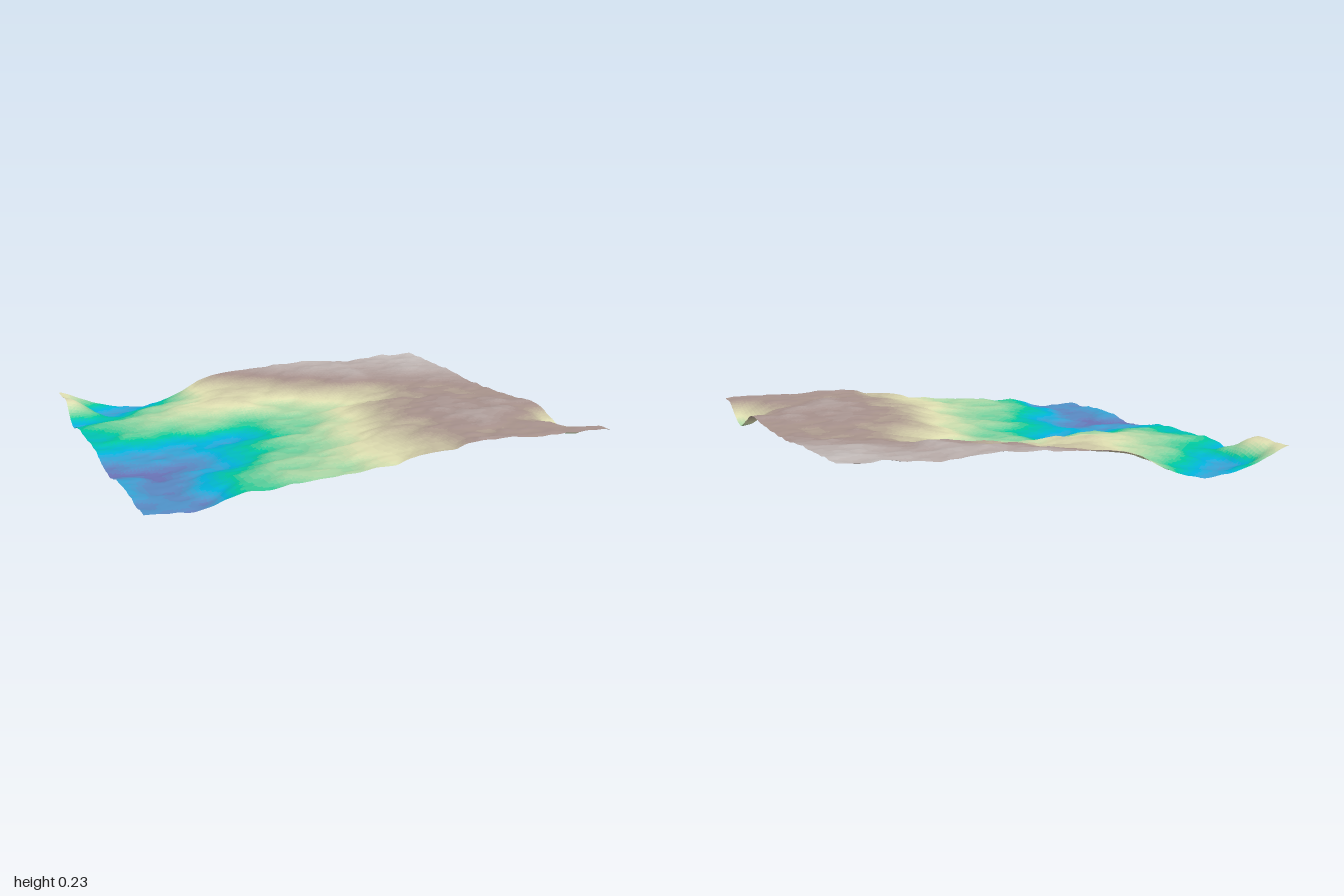
import * as THREE from 'three';

const WIDTH = 2, DEPTH = 1.94, RELIEF = 0.235, BANDS = 48;

// Elevations in percent of the relief: rows run back to front, columns left to right in x.
const ELEVATION = [
  [61, 32, 15, 33, 74, 83, 89, 94, 90, 97, 96],
  [56, 18, 24, 42, 62, 75, 85, 93, 90, 95, 97],
  [20, 27, 36, 50, 59, 61, 72, 84, 86, 91, 94],
  [28, 35, 44, 55, 57, 44, 58, 68, 78, 82, 84],
  [26, 34, 40, 40, 30, 40, 48, 59, 76, 79, 79],
  [24, 25, 22, 18, 28, 39, 56, 72, 76, 77, 77],
  [12, 11, 14, 24, 34, 43, 60, 75, 79, 79, 76],
  [9, 8, 12, 25, 36, 47, 65, 77, 85, 83, 79],
  [14, 9, 22, 33, 39, 51, 68, 79, 87, 75, 45],
  [12, 10, 27, 38, 43, 53, 67, 77, 79, 75, 63],
  [13, 8, 28, 37, 45, 55, 67, 78, 77, 77, 78],
];

// Elevation tints: deep blue, blue, green, sand, brown, grey.
const TINTS = [
  [0, 0.15, 0.15, 0.44], [0.15, 0, 0.43, 0.72], [0.25, 0, 0.58, 0.3],
  [0.5, 0.74, 0.74, 0.44], [0.75, 0.37, 0.27, 0.25], [1, 0.58, 0.55, 0.54],
];

const { clamp, lerp, smoothstep } = THREE.MathUtils;

// Catmull-Rom interpolation through evenly spaced values.
function spline(values, t) {
  const i = Math.min(Math.floor(t), values.length - 2), f = t - i;
  const at = (k) => values[clamp(k, 0, values.length - 1)];
  const a = at(i - 1), b = at(i), c = at(i + 1), d = at(i + 2);
  return b + 0.5 * f * (c - a + f * (2 * a - 5 * b + 4 * c - d + f * (3 * (b - c) + d - a)));
}

// Repeatable value noise in -1..1.
function hash(i, j) {
  const s = Math.sin(i * 127.1 + j * 311.7) * 43758.5453;
  return 2 * (s - Math.floor(s)) - 1;
}
function noise(x, z) {
  const i = Math.floor(x), j = Math.floor(z);
  const u = smoothstep(x - i, 0, 1), v = smoothstep(z - j, 0, 1);
  return lerp(lerp(hash(i, j), hash(i + 1, j), u), lerp(hash(i, j + 1), hash(i + 1, j + 1), u), v);
}

// Broad relief with wandering contours, plus fine roughness
function heightAt(x, z) {
  const u = (x / WIDTH + 0.5) * 10 + 0.25 * noise(x * 8 + 31, z * 8);
  const v = (z / DEPTH + 0.5) * 10 + 0.25 * noise(x * 8, z * 8 + 47);
  const base = spline(ELEVATION.map((row) => spline(row, clamp(u, 0, 10))), clamp(v, 0, 10)) / 100;
  const rough = 0.028 * noise(x * 6, z * 8) + 0.022 * noise(x * 12 + 7, z * 17 + 3)
    + 0.014 * noise(x * 23 + 5, z * 31 + 11);
  return RELIEF * (base + rough);
}

function tintAt(t) {
  const i = TINTS.findIndex((stop) => stop[0] >= t);
  const [t0, ...a] = TINTS[i - 1], [t1, ...b] = TINTS[i];
  const f = (t - t0) / (t1 - t0);
  return new THREE.Color().setRGB(...a.map((value, k) => lerp(value, b[k], f)));
}

export function createModel() {
  const model = new THREE.Group();
  model.name = 'terrain';

  // Displaced sheet with smooth normals, lowest point on the ground
  const sheet = new THREE.PlaneGeometry(WIDTH, DEPTH, 120, 116).rotateX(-Math.PI / 2);
  const pos = sheet.attributes.position;
  for (let i = 0; i < pos.count; i++) pos.setY(i, heightAt(pos.getX(i), pos.getZ(i)));
  sheet.computeVertexNormals();
  sheet.computeBoundingBox();
  sheet.translate(0, -sheet.boundingBox.min.y, 0);

  // Sort the triangles into elevation bands
  const bands = Array.from({ length: BANDS }, () => []);
  const index = sheet.index.array;
  for (let i = 0; i < index.length; i += 3) {
    const corners = [index[i], index[i + 1], index[i + 2]];
    const mean = corners.reduce((sum, k) => sum + pos.getY(k), 0) / 3;
    bands[Math.min(BANDS - 1, Math.floor((mean / RELIEF) * BANDS))].push(...corners);
  }

  // One tinted mesh per band
  bands.forEach((corners, i) => {
    if (!corners.length) return;
    sheet.setIndex(corners);
    const material = new THREE.MeshStandardMaterial({
      color: tintAt((i + 0.5) / BANDS), side: THREE.DoubleSide,
    });
    const mesh = new THREE.Mesh(sheet.toNonIndexed(), material);
    mesh.name = `elevationBand${i + 1}`;
    model.add(mesh);
  });
  return model;
}
